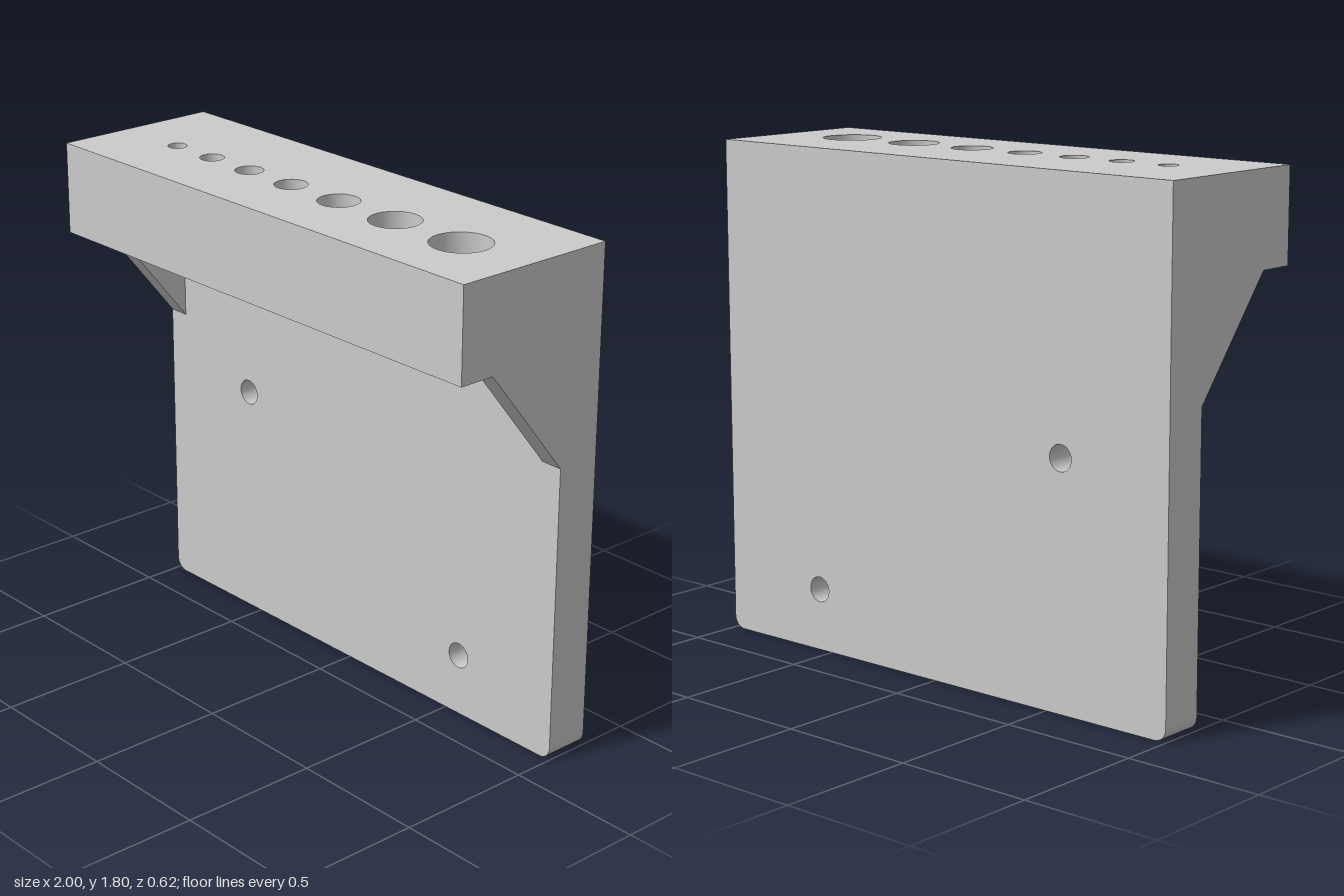
import * as THREE from 'three';
import { toCreasedNormals } from 'three/addons/utils/BufferGeometryUtils.js';

const BACK = -0.31, FRONT = 0.31, PLATE_FRONT = -0.145;
const SHELF_Y = 1.47, TOP = 1.8;

const extrude = (shape, depth) =>
  new THREE.ExtrudeGeometry(shape, { depth, bevelEnabled: false, curveSegments: 12 });

function addHole(shape, x, y, r) {
  const hole = new THREE.Path();
  hole.absarc(x, y, r, 0, Math.PI * 2, true);
  shape.holes.push(hole);
}

export function createModel() {
  const group = new THREE.Group();
  const material = new THREE.MeshStandardMaterial({ color: 0xcccccc });
  const add = (name, geometry) => {
    const mesh = new THREE.Mesh(toCreasedNormals(geometry, 0.7), material);
    mesh.name = name;
    group.add(mesh);
  };

  // Back plate with rounded lower corners and two screw holes
  const r = 0.045;
  const plate = new THREE.Shape();
  plate.moveTo(-1, SHELF_Y);
  plate.lineTo(-1, r);
  plate.absarc(-1 + r, r, r, Math.PI, Math.PI * 1.5, false);
  plate.lineTo(1 - r, 0);
  plate.absarc(1 - r, r, r, Math.PI * 1.5, Math.PI * 2, false);
  plate.lineTo(1, SHELF_Y);
  plate.closePath();
  addHole(plate, -0.557, 0.867, 0.046);
  addHole(plate, 0.557, 0.223, 0.046);
  add('backPlate', extrude(plate, PLATE_FRONT - BACK).translate(0, 0, BACK));

  // Top shelf with a row of growing tool holes (shape y is -z)
  const shelf = new THREE.Shape([
    new THREE.Vector2(-1, -FRONT), new THREE.Vector2(1, -FRONT),
    new THREE.Vector2(1, -BACK), new THREE.Vector2(-1, -BACK),
  ]);
  const toolHoles = [
    [-0.715, 0.034], [-0.523, 0.043], [-0.322, 0.05], [-0.105, 0.058],
    [0.135, 0.073], [0.407, 0.09], [0.71, 0.105],
  ];
  for (const [x, radius] of toolHoles) addHole(shelf, x, -0.037, radius);
  add('toolShelf', extrude(shelf, TOP - SHELF_Y).rotateX(-Math.PI / 2).translate(0, SHELF_Y, 0));

  // Triangular gussets under each end of the shelf
  const gusset = new THREE.Shape([
    new THREE.Vector2(PLATE_FRONT, 1.07),
    new THREE.Vector2(0.175, SHELF_Y),
    new THREE.Vector2(PLATE_FRONT, SHELF_Y),
  ]);
  const width = 0.08;
  for (const [name, outerX] of [['leftGusset', 1], ['rightGusset', -1 + width]]) {
    add(name, extrude(gusset, width).rotateY(-Math.PI / 2).translate(outerX, 0, 0));
  }

  return group;
}
